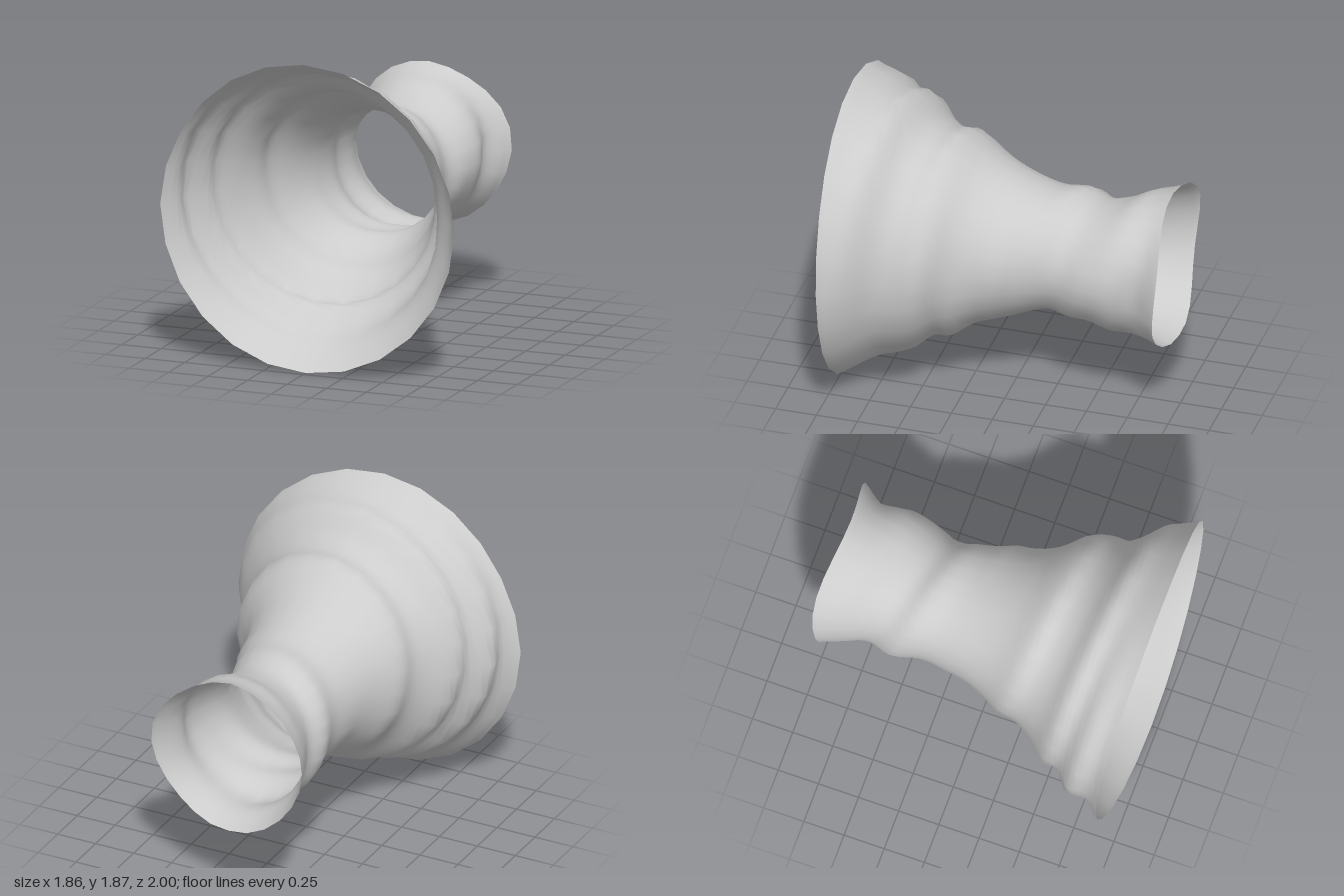
import * as THREE from 'three';
import { mergeVertices } from 'three/addons/utils/BufferGeometryUtils.js';

const CENTRE_Y = 0.93;
const TWIST = 0.1; // how far the folds travel along -z per radian

// Wall outlines [z, radius] at the left, top, right and bottom of the tunnel
const outlines = [
  [[-0.97, 0.5], [-0.82, 0.398], [-0.67, 0.444], [-0.5, 0.422], [-0.34, 0.365], [-0.1, 0.417], [0, 0.463],
    [0.08, 0.47], [0.27, 0.538], [0.41, 0.67], [0.5, 0.688], [0.64, 0.7], [0.82, 0.86], [0.95, 0.935]],
  [[-0.96, 0.5], [-0.86, 0.455], [-0.757, 0.43], [-0.62, 0.36], [-0.45, 0.337], [-0.35, 0.385], [-0.19, 0.386],
    [0, 0.444], [0.17, 0.53], [0.38, 0.668], [0.45, 0.653], [0.58, 0.71], [0.7, 0.835], [0.8, 0.84], [1, 0.94]],
  [[-0.96, 0.47], [-0.79, 0.404], [-0.63, 0.347], [-0.51, 0.39], [-0.32, 0.361], [-0.03, 0.414], [0.11, 0.472],
    [0.2, 0.525], [0.32, 0.54], [0.44, 0.615], [0.55, 0.725], [0.65, 0.735], [0.74, 0.85], [0.87, 0.84], [0.95, 0.93]],
  [[-0.98, 0.465], [-0.82, 0.422], [-0.61, 0.445], [-0.45, 0.37], [-0.31, 0.378], [-0.2, 0.358], [0.035, 0.454],
    [0.2, 0.51], [0.38, 0.655], [0.47, 0.638], [0.55, 0.708], [0.68, 0.786], [0.757, 0.818], [0.96, 0.93]],
].map((points) => new THREE.CatmullRomCurve3(points.map(([z, r]) => new THREE.Vector3(z, r, 0))).getPoints(150));

// Radius on one outline, carried on in a straight line past its ends
function outlineRadius(samples, z) {
  let i = samples.findIndex((p) => p.x >= z);
  if (i < 0) i = samples.length - 1;
  const a = samples[Math.max(i, 1) - 1], b = samples[Math.max(i, 1)];
  const slope = (b.y - a.y) / (b.x - a.x);
  return a.y + THREE.MathUtils.clamp(slope, -0.6, 0.6) * (z - a.x);
}

// Blend neighbouring outlines along the helical direction of the folds
function wallRadius(z, angle) {
  const quarter = Math.PI / 2;
  const turn = angle / quarter + 4;
  const k = Math.floor(turn), w = turn - k;
  const from = outlineRadius(outlines[k % 4], z + TWIST * w * quarter);
  const to = outlineRadius(outlines[(k + 1) % 4], z - TWIST * (1 - w) * quarter);
  return from * (1 - w) + to * w;
}

// Open tube along z, reshaped into a flared, twisted funnel
function twistedFunnel() {
  const geometry = new THREE.CylinderGeometry(1, 1, 2, 24, 60, true);
  geometry.rotateX(Math.PI / 2);
  const pos = geometry.attributes.position;
  for (let i = 0; i < pos.count; i++) {
    const t = pos.getZ(i);
    const angle = Math.atan2(pos.getY(i), pos.getX(i));
    // uneven rims at both ends
    const front = 0.965 + 0.018 * Math.sin(angle) - 0.016 * Math.cos(2 * angle);
    const back = 0.975 + 0.022 * Math.sin(3 * angle + 0.6);
    const z = t * (t > 0 ? front : back);
    const r = wallRadius(z, angle);
    pos.setXYZ(i, r * Math.cos(angle), CENTRE_Y + r * Math.sin(angle), z);
  }
  // weld the seam so the shading is continuous
  geometry.deleteAttribute('uv');
  geometry.deleteAttribute('normal');
  const welded = mergeVertices(geometry, 1e-4);
  welded.computeVertexNormals();
  return welded;
}

export function createModel() {
  const group = new THREE.Group();
  group.name = 'twistedTunnel';
  const grey = new THREE.MeshStandardMaterial({ color: 0xcccccc, side: THREE.DoubleSide });
  grey.name = 'light grey';
  const wall = new THREE.Mesh(twistedFunnel(), grey);
  wall.name = 'tunnelWall';
  group.add(wall);
  return group;
}
